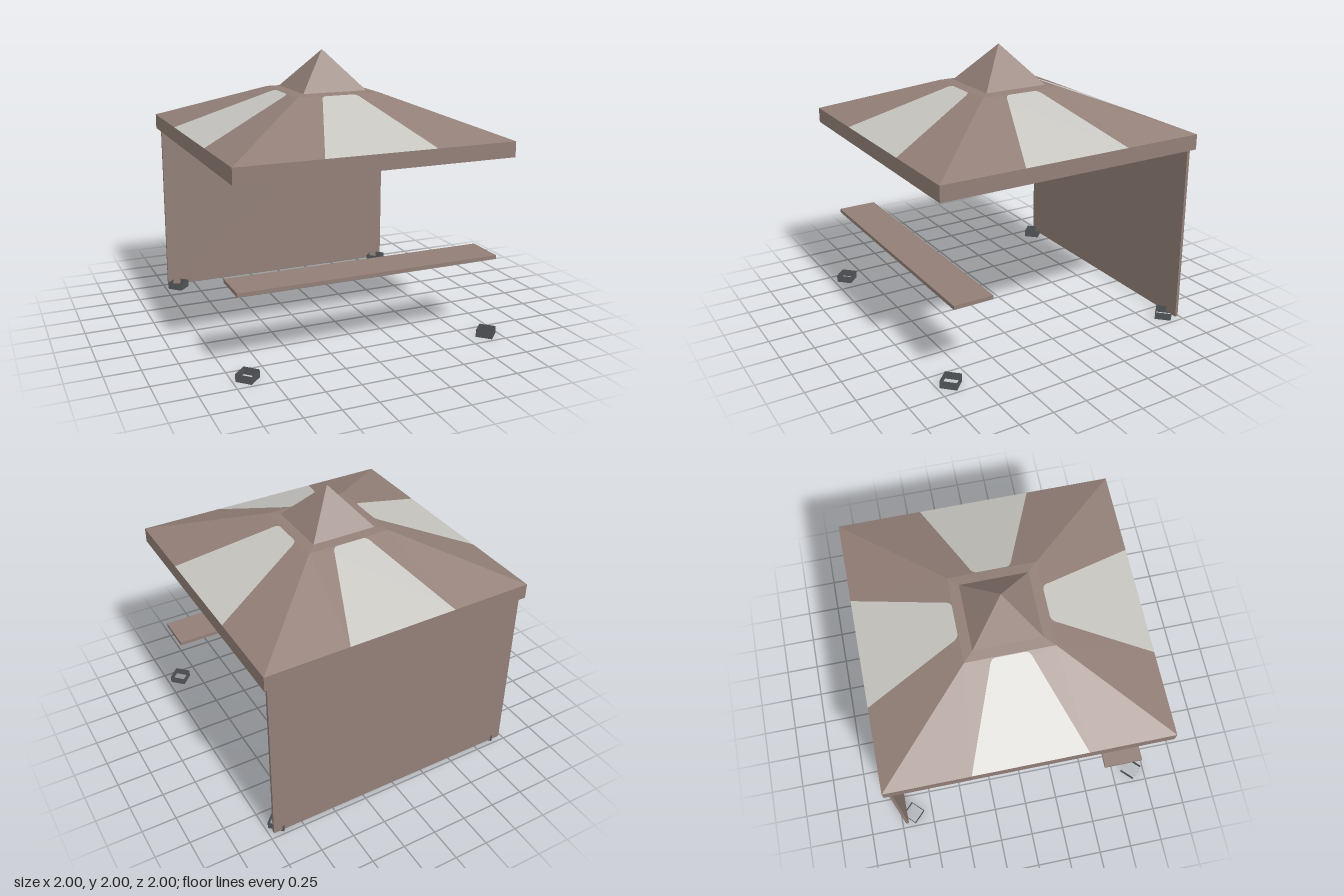
import * as THREE from 'three';

export function createModel() {
  const material = (name, color) => {
    const m = new THREE.MeshStandardMaterial({ color, flatShading: true, side: THREE.DoubleSide });
    m.name = name;
    return m;
  };
  const brown = material('brown fabric', 0x927f77);
  const pale = material('pale panel', 0xc6c5c0);
  const grey = material('dark grey', 0x54575a);

  const model = new THREE.Group();
  model.name = 'canopyTent';
  const add = (parent, name, geometry, mat, x = 0, y = 0, z = 0) => {
    const mesh = new THREE.Mesh(geometry, mat);
    mesh.name = name;
    mesh.position.set(x, y, z);
    parent.add(mesh);
    return mesh;
  };

  // Heights and half widths of the roof levels
  const hem = 1.325, eave = 1.435, shoulder = 1.712, neck = 1.722, peak = 2;
  const wide = 1, shoulderHalf = 0.31, neckHalf = 0.24;

  // Square open pyramid or frustum with sides facing the axes
  const squareRing = (top, bottom, height) =>
    new THREE.CylinderGeometry(top * Math.SQRT2, bottom * Math.SQRT2, height, 4, 1, true).rotateY(Math.PI / 4);

  // Flat plan outline, given as [x, distance from centre], lifted onto the slope
  const slope = (draw) => {
    const shape = new THREE.Shape();
    draw(shape);
    const g = new THREE.ShapeGeometry(shape, 6).rotateX(-Math.PI / 2);
    const p = g.attributes.position;
    for (let i = 0; i < p.count; i++) {
      const t = (wide - p.getZ(i)) / (wide - shoulderHalf);
      p.setY(i, eave + t * (shoulder - eave));
    }
    g.computeVertexNormals();
    return g;
  };

  // Panel outline with rounded upper corners, from its right foot to its left foot
  const panelEdge = (s) => {
    s.lineTo(0.4, -wide);
    s.lineTo(0.15, -0.37);
    s.quadraticCurveTo(0.135, -shoulderHalf - 0.005, 0.1, -shoulderHalf - 0.004);
    s.lineTo(-0.1, -shoulderHalf - 0.004);
    s.quadraticCurveTo(-0.135, -shoulderHalf - 0.005, -0.15, -0.37);
    s.lineTo(-0.4, -wide);
  };
  const panelGeometry = slope((s) => {
    s.moveTo(0.4, -wide);
    panelEdge(s);
  });
  const clothGeometry = slope((s) => {
    s.moveTo(wide, -wide);
    panelEdge(s);
    s.lineTo(-wide, -wide);
    s.lineTo(-shoulderHalf, -shoulderHalf);
    s.lineTo(shoulderHalf, -shoulderHalf);
  });

  // Four matching roof sides
  const roof = new THREE.Group();
  roof.name = 'roof';
  model.add(roof);
  for (let i = 0; i < 4; i++) {
    const side = new THREE.Group();
    side.name = 'roofSide';
    side.rotation.y = i * Math.PI / 2;
    add(side, 'roofCloth', clothGeometry, brown);
    add(side, 'roofPanel', panelGeometry, pale);
    roof.add(side);
  }
  add(roof, 'roofCollar', squareRing(neckHalf, shoulderHalf, neck - shoulder), brown, 0, (neck + shoulder) / 2);
  add(roof, 'roofCap', squareRing(0, neckHalf, peak - neck), brown, 0, (peak + neck) / 2);
  add(roof, 'valance', squareRing(wide, wide, eave - hem), brown, 0, (eave + hem) / 2);

  // Back wall and front counter
  add(model, 'backWall', new THREE.BoxGeometry(1.94, 1.4, 0.022), brown, 0, 0.718, -0.962);
  add(model, 'counter', new THREE.BoxGeometry(1.91, 0.027, 0.288), brown, 0, 0.587, 0.753);

  // Open square feet, turned diagonally
  for (const x of [-1, 1]) {
    for (const z of [-1, 1]) {
      add(model, 'foot', new THREE.CylinderGeometry(0.083, 0.083, 0.055, 4, 1, true), grey,
        x * 0.898, 0.0275 + 0.004, z * 0.898);
    }
  }
  return model;
}
